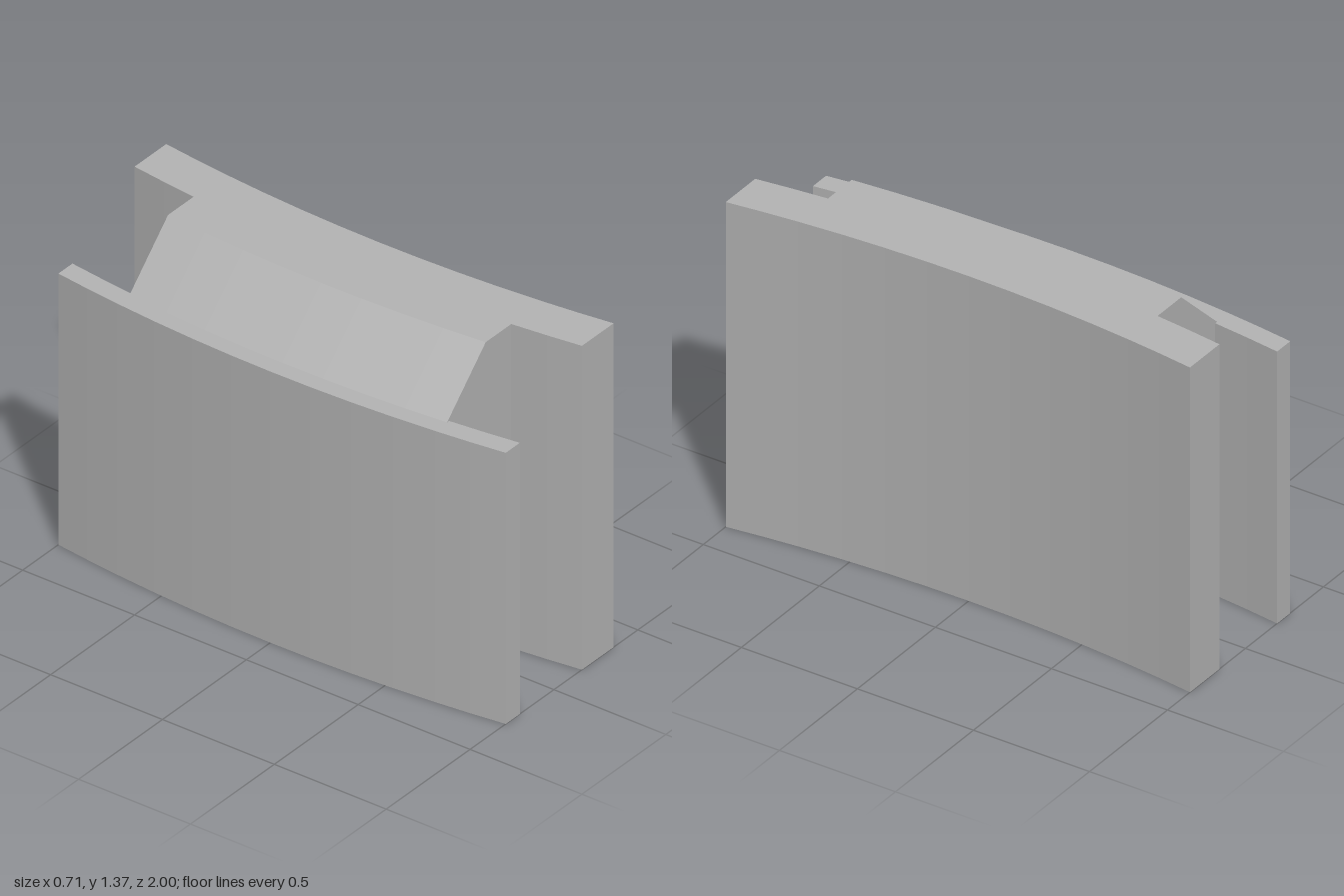
import * as THREE from 'three';

// Bend: sideways shift of a cross-section at a given z
const RADIUS = 7.2;
const bend = (z) => RADIUS - Math.sqrt(RADIUS * RADIUS - z * z);

// Shared z stations, so that touching parts bend alike
const half = [0.178, 0.355, 0.533, 0.71, 0.855, 1];
const stations = [...half.map((z) => -z).reverse(), 0, ...half];

// Sweep an x-y profile along z through the bent stations
function sweep(name, profile, halfLength, material) {
  const zs = stations.filter((z) => Math.abs(z) <= halfLength);
  const steps = zs.length - 1;
  const shape = new THREE.Shape(profile.map(([x, y]) => new THREE.Vector2(x, y)));
  const geometry = new THREE.ExtrudeGeometry(shape, { depth: steps, steps, bevelEnabled: false });
  const p = geometry.attributes.position;
  for (let i = 0; i < p.count; i++) {
    const z = zs[Math.round(p.getZ(i))];
    p.setX(i, p.getX(i) + bend(z));
    p.setZ(i, z);
  }
  geometry.computeVertexNormals();
  const mesh = new THREE.Mesh(geometry, material);
  mesh.name = name;
  return mesh;
}

const box = (x0, x1, height) => [[x0, 0], [x1, 0], [x1, height], [x0, height]];

export function createModel() {
  const gray = new THREE.MeshStandardMaterial({ color: 0xb4b4b4 });
  gray.name = 'plain gray';
  const group = new THREE.Group();
  group.name = 'curvedWallBlock';

  // Thin low wall and thick tall wall
  group.add(sweep('thinWall', box(-0.357, -0.273, 1.147), 1, gray));
  group.add(sweep('thickWall', box(0.097, 0.286, 1.37), 1, gray));

  // Shorter core between the walls, raised off the ground, with a sloped shoulder
  group.add(sweep('core', [
    [-0.285, 0.292], [0.097, 0.292], [0.097, 1.37], [-0.055, 1.37], [-0.285, 1.147],
  ], 0.71, gray));
  return group;
}
